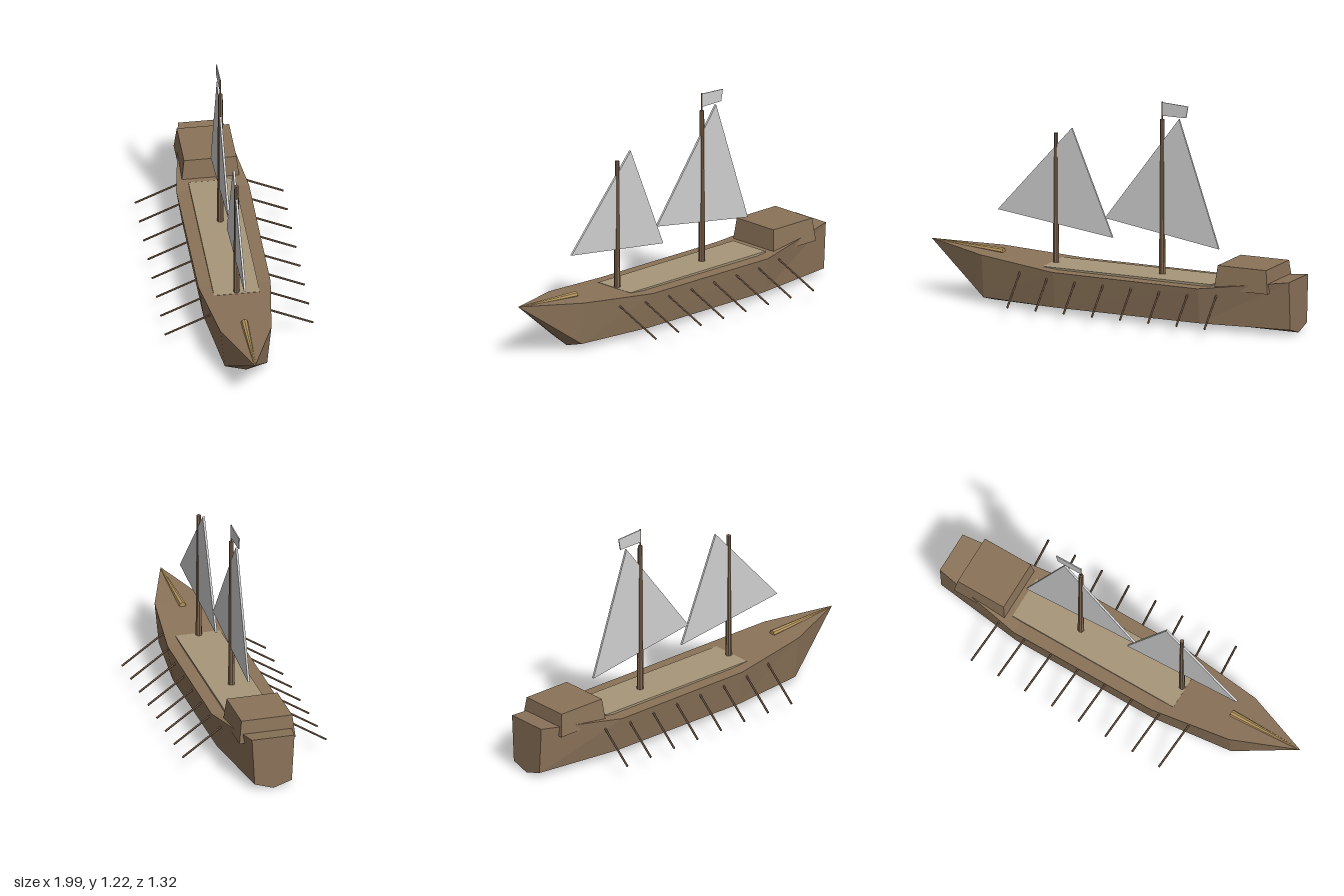
import * as THREE from 'three';

const paint = (name, color, extra = {}) =>
  Object.assign(new THREE.MeshStandardMaterial({ color, flatShading: true, ...extra }), { name });

export function createModel() {
  const hullWood = paint('hull wood', 0x8b7359);
  const deckWood = paint('deck planks', 0xa8977a);
  const sparWood = paint('spar wood', 0x806650);
  const bowWood = paint('bowsprit wood', 0xb8975f);
  const cloth = paint('sail cloth', 0xd0d0d0);

  // The ship is built along x (bow at +x), then turned to sit diagonally.
  const model = new THREE.Group();
  model.name = 'sailingShip';
  const ship = new THREE.Group();
  ship.name = 'ship';
  ship.rotation.y = -Math.PI / 6;
  ship.position.set(-0.021, 0, 0.036);
  model.add(ship);

  const add = (name, geometry, material, x = 0, y = 0, z = 0) => {
    const mesh = new THREE.Mesh(geometry, material);
    mesh.name = name;
    mesh.position.set(x, y, z);
    ship.add(mesh);
    return mesh;
  };

  // Round bar between two points
  const bar = (name, from, to, r0, r1, material, sides = 8) => {
    const a = new THREE.Vector3(...from), b = new THREE.Vector3(...to);
    const dir = b.clone().sub(a);
    const mesh = add(name, new THREE.CylinderGeometry(r1, r0, dir.length(), sides), material);
    mesh.position.copy(a).add(b).multiplyScalar(0.5);
    mesh.quaternion.setFromUnitVectors(new THREE.Vector3(0, 1, 0), dir.normalize());
    return mesh;
  };

  // Thin upright sheet in the centre plane
  const sheet = (name, points, thickness) => {
    const shape = new THREE.Shape(points.map(p => new THREE.Vector2(...p)));
    const geo = new THREE.ExtrudeGeometry(shape, { depth: thickness, bevelEnabled: false });
    add(name, geo, cloth, 0, 0, -thickness / 2);
  };

  // Hull sections: x, deck height, deck half width, chine half width
  const sections = [
    [-1.06, 0.305, 0.121, 0.106],
    [-0.54, 0.235, 0.202, 0.172],
    [0.34, 0.238, 0.2, 0.172],
    [0.802, 0.277, 0.141, 0.117],
  ].map(([x, top, deck, chine]) => [
    [x, 0, 0], [x, 0.035, chine], [x, top, deck], [x, top, -deck], [x, 0.035, -chine],
  ]);
  sections.push(Array(5).fill([1.173, 0.307, 0]));
  const pos = [];
  for (let i = 0; i < sections.length - 1; i++) {
    const a = sections[i], b = sections[i + 1];
    for (let k = 0; k < 5; k++) {
      const n = (k + 1) % 5;
      pos.push(...a[k], ...b[k], ...b[n], ...a[k], ...b[n], ...a[n]);
    }
  }
  for (let k = 1; k < 4; k++) pos.push(...sections[0][0], ...sections[0][k], ...sections[0][k + 1]);
  const hull = new THREE.BufferGeometry();
  hull.setAttribute('position', new THREE.Float32BufferAttribute(pos, 3));
  hull.computeVertexNormals();
  add('hull', hull, hullWood);

  // Pale main deck
  add('mainDeck', new THREE.BoxGeometry(1.03, 0.03, 0.254), deckWood, -0.077, 0.233, 0);

  // Stern cabin, narrowing slightly upwards
  const cabin = new THREE.BoxGeometry(0.324, 0.13, 0.32);
  const p = cabin.attributes.position;
  for (let i = 0; i < p.count; i++) {
    if (p.getY(i) > 0) {
      p.setX(i, p.getX(i) - Math.sign(p.getX(i)) * 0.015);
      p.setZ(i, p.getZ(i) - Math.sign(p.getZ(i)) * 0.015);
    }
  }
  cabin.computeVertexNormals();
  add('sternCabin', cabin, hullWood, -0.785, 0.3, 0);

  // Bowsprit half sunk into the foredeck
  bar('bowsprit', [0.735, 0.276, 0], [1.15, 0.302, 0], 0.02, 0.006, bowWood);

  // Masts and flagpole
  bar('mainMast', [-0.23, 0.2, 0], [-0.23, 1.115, 0], 0.019, 0.013, sparWood);
  bar('foreMast', [0.417, 0.2, 0], [0.417, 0.975, 0], 0.018, 0.012, sparWood);
  bar('flagpole', [-0.23, 1.1, 0], [-0.23, 1.215, 0], 0.004, 0.004, sparWood, 6);

  // Sails and flag
  sheet('mainSail', [[-0.576, 0.42], [0.117, 0.527], [-0.334, 1.127]], 0.012);
  sheet('foreSail', [[0.07, 0.42], [0.769, 0.511], [0.319, 1.012]], 0.012);
  sheet('flag', [[-0.23, 1.137], [-0.23, 1.212], [-0.388, 1.203], [-0.376, 1.137]], 0.006);

  // Eight oars on each side, swept aft and down to the water
  for (const side of [-1, 1]) {
    for (let i = 0; i < 8; i++) {
      const x = -0.685 + i * 0.1715;
      bar('oar', [x + 0.045, 0.218, side * 0.15], [x, 0.066, side * 0.41], 0.006, 0.006, sparWood, 6);
    }
  }
  return model;
}
